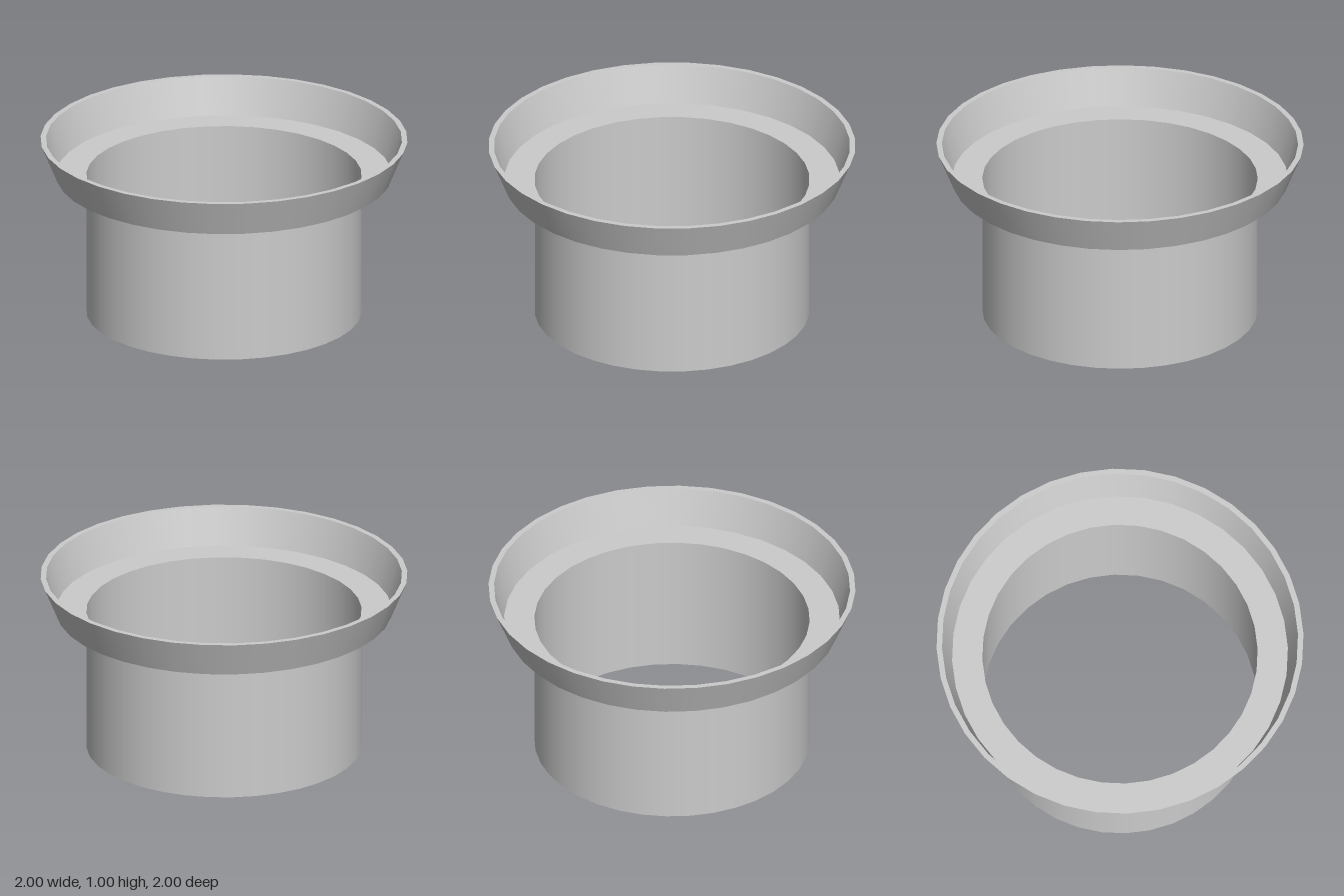
import * as THREE from 'three';

export function createModel() {
  const group = new THREE.Group();
  const material = new THREE.MeshStandardMaterial({ color: 0xcccccc, side: THREE.DoubleSide });
  const segments = 36;
  const ledgeY = 0.793;

  // Each band is revolved on its own, so it is smooth around and sharp at its edges.
  function band(name, r0, y0, r1, y1) {
    const profile = [new THREE.Vector2(r0, y0), new THREE.Vector2(r1, y1)];
    const mesh = new THREE.Mesh(new THREE.LatheGeometry(profile, segments), material);
    mesh.name = name;
    group.add(mesh);
  }

  // Open thin-walled tube
  band('tubeWall', 0.75, 0, 0.75, ledgeY);

  // Flat ledge joining the tube to the flared collar
  band('ledge', 0.75, ledgeY, 0.915, ledgeY);

  // Flared collar, tapering in thickness towards the ledge
  band('collarOuterWall', 0.915, ledgeY, 1, 1);
  band('collarRim', 1, 1, 0.97, 1);
  band('collarInnerWall', 0.97, 1, 0.915, ledgeY);

  return group;
}
